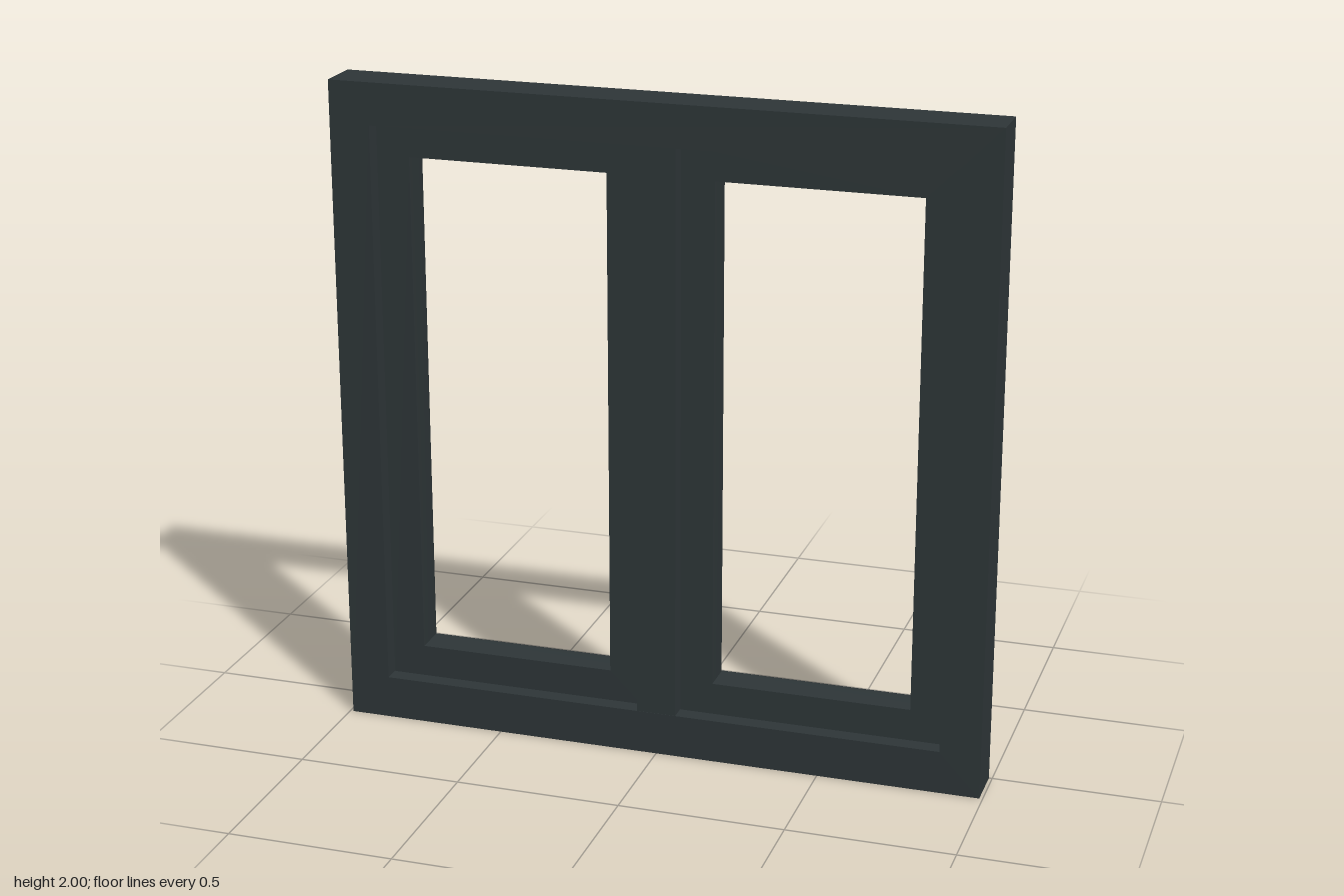
import * as THREE from 'three';
import { toCreasedNormals } from 'three/addons/utils/BufferGeometryUtils.js';

const material = new THREE.MeshStandardMaterial({ color: 0x2e3638 });

function add(parent, name, geometry, x = 0, y = 0, z = 0) {
  const mesh = new THREE.Mesh(geometry, material);
  mesh.name = name;
  mesh.position.set(x, y, z);
  parent.add(mesh);
  return mesh;
}

function rectPath(target, x0, y0, x1, y1) {
  target.moveTo(x0, y0);
  target.lineTo(x1, y0);
  target.lineTo(x1, y1);
  target.lineTo(x0, y1);
  target.closePath();
  return target;
}

// Sweep a closed profile of [inset, z] round a rectangle with mitred corners
function mitredFrame(width, height, profile) {
  const corners = [[-1, -1], [1, -1], [1, 1], [-1, 1]];
  const point = (c, [d, z]) => [c[0] * (width / 2 - d), c[1] * (height / 2 - d), z];
  const positions = [];
  corners.forEach((a, k) => {
    const b = corners[(k + 1) % 4];
    profile.forEach((p, i) => {
      const q = profile[(i + 1) % profile.length];
      const [a0, a1, b1, b0] = [point(a, p), point(a, q), point(b, q), point(b, p)];
      positions.push(...a0, ...a1, ...b1, ...a0, ...b1, ...b0);
    });
  });
  const geometry = new THREE.BufferGeometry();
  geometry.setAttribute('position', new THREE.Float32BufferAttribute(positions, 3));
  return toCreasedNormals(geometry, 0.7);
}

// Tube whose radius follows a rule along its length
function taperedTube(curve, segments, sides, radiusAt) {
  const geometry = new THREE.TubeGeometry(curve, segments, 1, sides);
  const pos = geometry.attributes.position;
  const v = new THREE.Vector3();
  for (let i = 0; i <= segments; i++) {
    const centre = curve.getPointAt(i / segments);
    for (let j = 0; j <= sides; j++) {
      const n = i * (sides + 1) + j;
      v.fromBufferAttribute(pos, n).sub(centre).multiplyScalar(radiusAt(i / segments)).add(centre);
      pos.setXYZ(n, v.x, v.y, v.z);
    }
  }
  return geometry;
}

function createHandle() {
  const handle = new THREE.Group();
  handle.name = 'handle';

  // Rounded backplate
  const r = 0.024, h = 0.038;
  const plate = new THREE.Shape();
  plate.absarc(0, h, r, 0, Math.PI);
  plate.absarc(0, -h, r, Math.PI, Math.PI * 2);
  plate.closePath();
  add(handle, 'handlePlate', toCreasedNormals(new THREE.ExtrudeGeometry(plate, {
    depth: 0.014, bevelEnabled: true, bevelThickness: 0.003, bevelSize: 0.003,
    bevelOffset: -0.003, bevelSegments: 2, curveSegments: 12,
  }), 0.6), 0, 0, -0.017);

  // Curved lever
  const lever = new THREE.CatmullRomCurve3([
    [0.006, -0.018], [0.006, -0.045], [0.002, -0.07], [-0.025, -0.088],
    [-0.075, -0.099], [-0.125, -0.1], [-0.165, -0.094],
  ].map(([y, z]) => new THREE.Vector3(0, y, z)));
  const radius = (t) => 0.022 - 0.013 * Math.min(1, t * 1.5);
  add(handle, 'lever', taperedTube(lever, 32, 14, radius));
  add(handle, 'leverTip', new THREE.SphereGeometry(radius(1), 14, 10), 0, -0.165, -0.094);
  return handle;
}

export function createModel() {
  const model = new THREE.Group();
  model.name = 'window';

  // Fixed outer frame
  const outline = rectPath(new THREE.Shape(), -0.99, 0, 0.99, 2);
  outline.holes.push(rectPath(new THREE.Path(), -0.867, 0.132, 0.867, 1.873));
  add(model, 'outerFrame', new THREE.ExtrudeGeometry(outline, { depth: 0.14, bevelEnabled: false }));

  // Central post
  add(model, 'centrePost', new THREE.BoxGeometry(0.12, 1.741, 0.138), 0, 1.0025, 0.07);

  // Pair of sashes: back flange, rounded glazing bead, recessed front
  const profile = [
    [0, -0.007], [0, -0.029], [0.002, -0.033], [0.006, -0.035],
    [0.134, -0.035], [0.142, -0.032], [0.149, -0.024], [0.153, -0.013], [0.155, 0],
    [0.155, 0.09], [0.055, 0.09], [0.055, 0.001], [0.045, 0.001], [0.045, -0.007],
  ];
  const sash = mitredFrame(0.915, 1.855, profile);
  add(model, 'rightSash', sash, -0.4635, 1.0025, 0);
  add(model, 'leftSash', sash, 0.4635, 1.0025, 0);

  // Handle on the back of the right sash
  const handle = createHandle();
  handle.position.set(-0.07, 1, -0.035);
  model.add(handle);

  return model;
}
